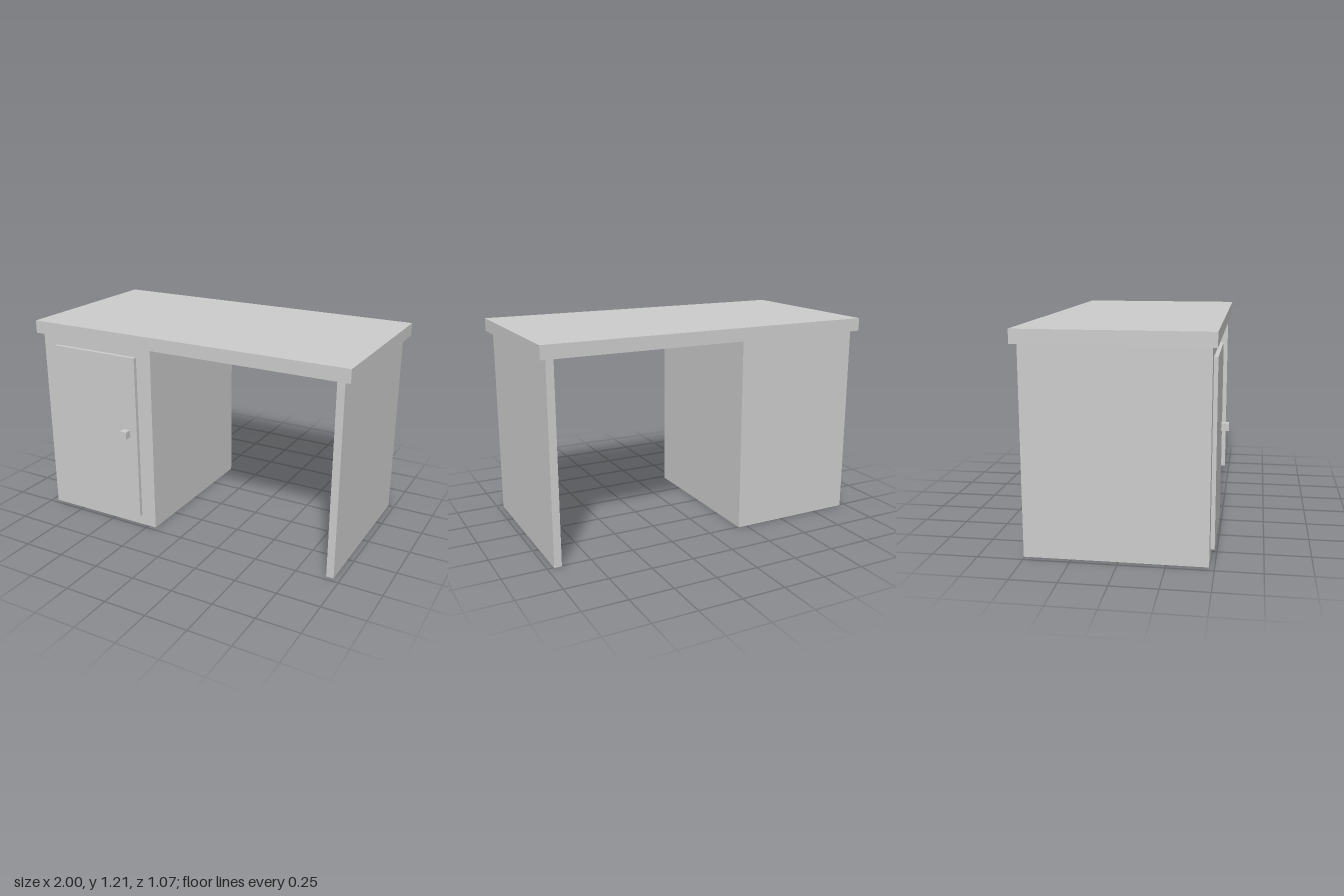
import * as THREE from 'three';

const material = new THREE.MeshStandardMaterial({ color: 0xcccccc, flatShading: true });

// Box given by its [min, max] range along each axis
function block(name, [x0, x1], [y0, y1], [z0, z1]) {
  const mesh = new THREE.Mesh(new THREE.BoxGeometry(x1 - x0, y1 - y0, z1 - z0), material);
  mesh.position.set((x0 + x1) / 2, (y0 + y1) / 2, (z0 + z1) / 2);
  mesh.name = name;
  return mesh;
}

export function createModel() {
  const desk = new THREE.Group();
  desk.name = 'desk';

  const underside = 1.134;
  const depth = [-0.507, 0.472];

  // Worktop, overhanging the supports on all sides
  desk.add(block('desktop', [-1, 1], [underside, 1.21], [-0.537, 0.497]));

  // Side panel on the open end
  desk.add(block('sidePanel', [0.92, 0.963], [0, underside], depth));

  // Cupboard with a raised door and a square knob
  const cupboard = new THREE.Group();
  cupboard.name = 'cupboard';
  cupboard.add(
    block('cupboardBody', [-0.963, -0.198], [0, underside], depth),
    block('door', [-0.872, -0.294], [0.063, 1.073], [depth[1], 0.494]),
    block('doorKnob', [-0.385, -0.342], [0.58, 0.624], [0.494, 0.537]),
  );
  desk.add(cupboard);

  return desk;
}
